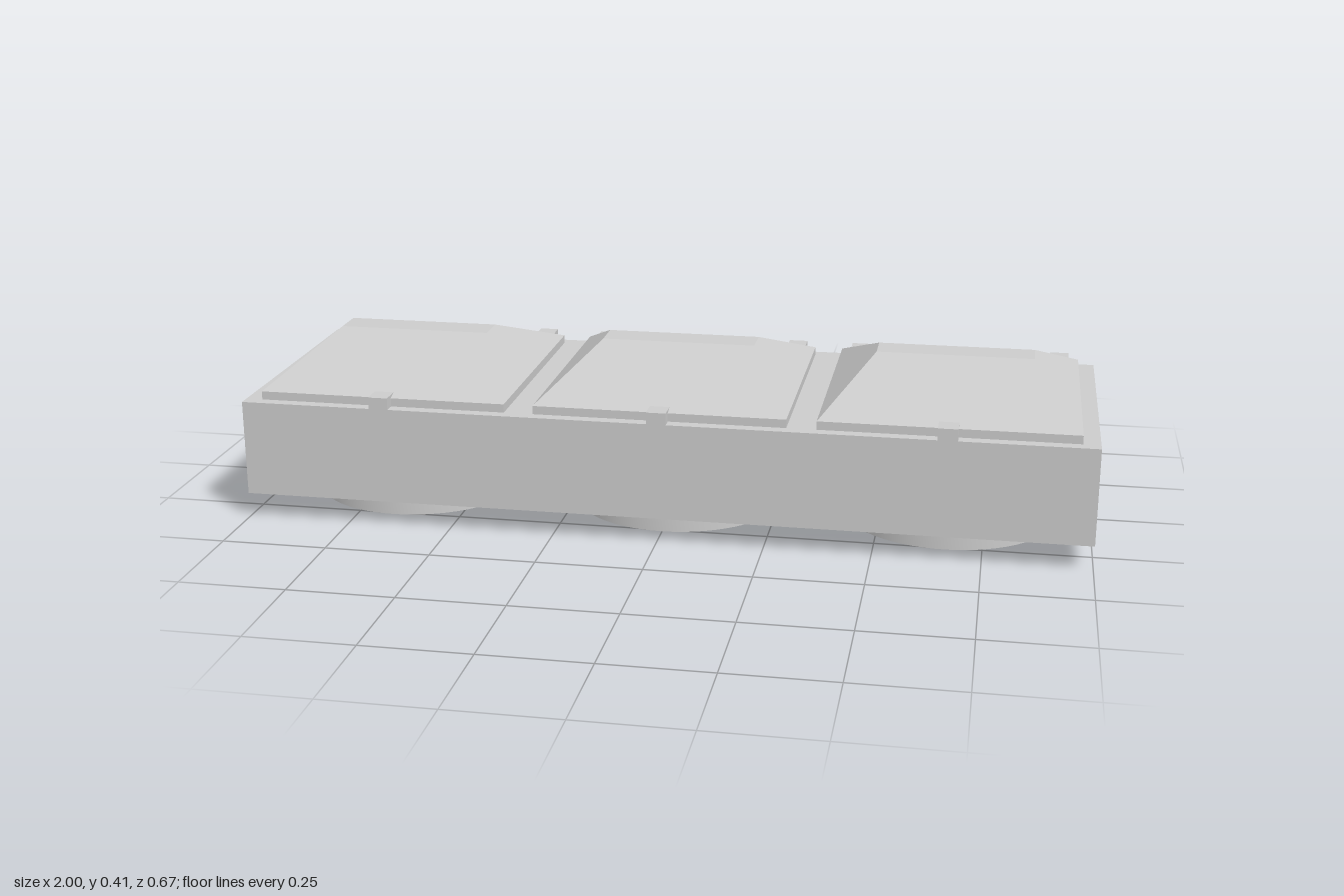
import * as THREE from 'three';
import { toCreasedNormals } from 'three/addons/utils/BufferGeometryUtils.js';

const material = new THREE.MeshStandardMaterial({ color: 0xcccccc });
const unitCentres = [-0.663, 0, 0.663];

function part(name, geometry, x = 0, y = 0, z = 0) {
  const mesh = new THREE.Mesh(geometry, material);
  mesh.name = name;
  mesh.position.set(x, y, z);
  return mesh;
}

// Long housing block with three round bores opening downwards
function housingGeometry() {
  const shape = new THREE.Shape();
  shape.moveTo(-1, -0.335).lineTo(1, -0.335).lineTo(1, 0.335).lineTo(-1, 0.335).closePath();
  for (const x of unitCentres) {
    shape.holes.push(new THREE.Path().absarc(x, 0, 0.255, 0, Math.PI * 2, true));
  }
  const geometry = new THREE.ExtrudeGeometry(shape, { depth: 0.22, bevelEnabled: false, curveSegments: 48 });
  return geometry.rotateX(-Math.PI / 2);
}

// Low hipped cover: short upright rim, then slopes up to a narrow flat top
function lidGeometry() {
  const rows = [
    { y: 0.29, x: 0.297, z: 0.307 },
    { y: 0.31, x: 0.297, z: 0.307 },
    { y: 0.405, x: 0.185, z: 0.04 },
  ];
  const geometry = new THREE.BoxGeometry(2, 2, 2, 1, 2, 1).toNonIndexed();
  const p = geometry.attributes.position;
  for (let i = 0; i < p.count; i++) {
    const row = rows[Math.round(p.getY(i)) + 1];
    p.setXYZ(i, Math.sign(p.getX(i)) * row.x, row.y, Math.sign(p.getZ(i)) * row.z);
  }
  geometry.computeVertexNormals();
  return geometry;
}

// Thin-walled collar with a flange, its bore running up into the housing
function collarGeometry() {
  const profile = [[0.25, 0.28], [0.25, 0], [0.26, 0], [0.26, 0.05], [0.278, 0.05], [0.278, 0.06]]
    .map(([r, y]) => new THREE.Vector2(r, y));
  return toCreasedNormals(new THREE.LatheGeometry(profile, 64), 0.6);
}

export function createModel() {
  const model = new THREE.Group();
  model.name = 'tripleHousing';

  model.add(part('housing', housingGeometry(), 0, 0.06, 0));
  model.add(part('housingTop', new THREE.BoxGeometry(2, 0.01, 0.67), 0, 0.285, 0));

  const lid = lidGeometry();
  const collar = collarGeometry();
  const tab = new THREE.BoxGeometry(0.046, 0.028, 0.055);

  for (const x of unitCentres) {
    const unit = new THREE.Group();
    unit.name = 'unit';
    unit.position.x = x;
    unit.add(part('lid', lid), part('collar', collar));
    // One tab in front, two at the back
    unit.add(part('frontTab', tab, 0, 0.304, 0.3075));
    for (const side of [-1, 1]) unit.add(part('backTab', tab, side * 0.25, 0.304, -0.3075));
    model.add(unit);
  }
  return model;
}
